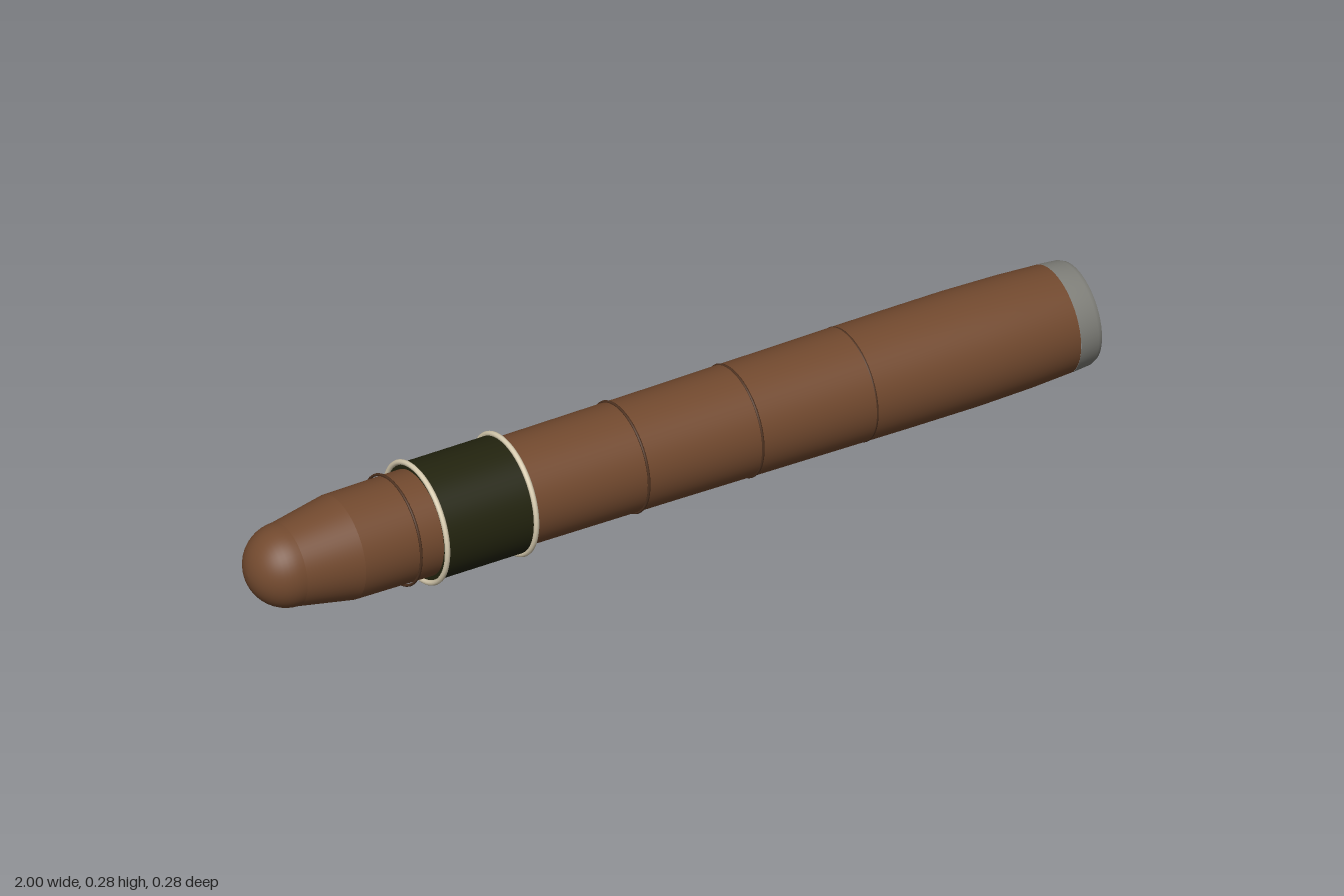
import * as THREE from 'three';

const AXIS_Y = 0.138;
const SEGMENTS = 64;

function material(name, color) {
  const m = new THREE.MeshStandardMaterial({ color });
  m.name = name;
  return m;
}

export function createModel() {
  const wrapper = material('brown wrapper', 0x734a2f);
  const seam = material('dark seam', 0x4e3220);
  const green = material('dark green band', 0x23240f);
  const cream = material('cream trim', 0xd8ccb0);
  const ash = material('grey ash', 0x82827c);
  const filler = material('tan filler', 0xcb946a);

  const root = new THREE.Group();
  root.name = 'cigar';
  const body = new THREE.Group();
  body.name = 'rolledBody';
  body.position.y = AXIS_Y;
  root.add(body);

  function add(name, geometry, mat) {
    const mesh = new THREE.Mesh(geometry, mat);
    mesh.name = name;
    body.add(mesh);
    return mesh;
  }

  // Surface of revolution about x from [x, radius] pairs
  function turned(name, profile, mat) {
    const points = profile.map(([x, r]) => new THREE.Vector2(r, x));
    return add(name, new THREE.LatheGeometry(points, SEGMENTS).rotateZ(-Math.PI / 2), mat);
  }

  // Thin hoop around the body
  function hoop(name, x, radius, tube, mat) {
    const geometry = new THREE.TorusGeometry(radius, tube, 10, SEGMENTS).rotateY(Math.PI / 2);
    add(name, geometry, mat).position.x = x;
  }

  // Rounded head and its tapering shoulder
  const dome = [];
  for (let i = 0; i <= 12; i++) {
    const a = (i / 12) * Math.PI / 2;
    dome.push([-0.908 - 0.092 * Math.cos(a), 0.092 * Math.sin(a)]);
  }
  turned('roundedHead', dome, wrapper);
  turned('headTaper', [[-0.908, 0.092], [-0.78, 0.115]], wrapper);

  // Long wrapper, swelling gently towards the foot
  turned('wrapper', [
    [-0.78, 0.115], [-0.6, 0.117], [-0.3, 0.119], [0, 0.121],
    [0.3, 0.124], [0.55, 0.1265], [0.72, 0.127], [0.85, 0.124], [0.945, 0.119],
  ], wrapper);

  // Ash rim and open filler at the foot
  turned('ashRim', [[0.945, 0.1195], [0.99, 0.1155], [1, 0.111]], ash);
  add('fillerFace', new THREE.CircleGeometry(0.111, SEGMENTS).rotateY(Math.PI / 2), filler).position.x = 1;

  // Wrapper seams
  [[-0.65, 0.121], [-0.1, 0.1215], [0.175, 0.1225], [0.45, 0.1235]].forEach(
    ([x, r]) => hoop('wrapperSeam', x, r, 0.003, seam));

  // Paper band with raised trim and closed edges
  turned('band', [[-0.593, 0.115], [-0.593, 0.129], [-0.378, 0.129], [-0.378, 0.115]], green)
    .geometry = new THREE.CylinderGeometry(0.129, 0.129, 0.215, SEGMENTS)
      .rotateZ(-Math.PI / 2).translate(-0.4855, 0, 0);
  for (const x of [-0.593, -0.378]) hoop('bandTrim', x, 0.132, 0.006, cream);

  return root;
}
